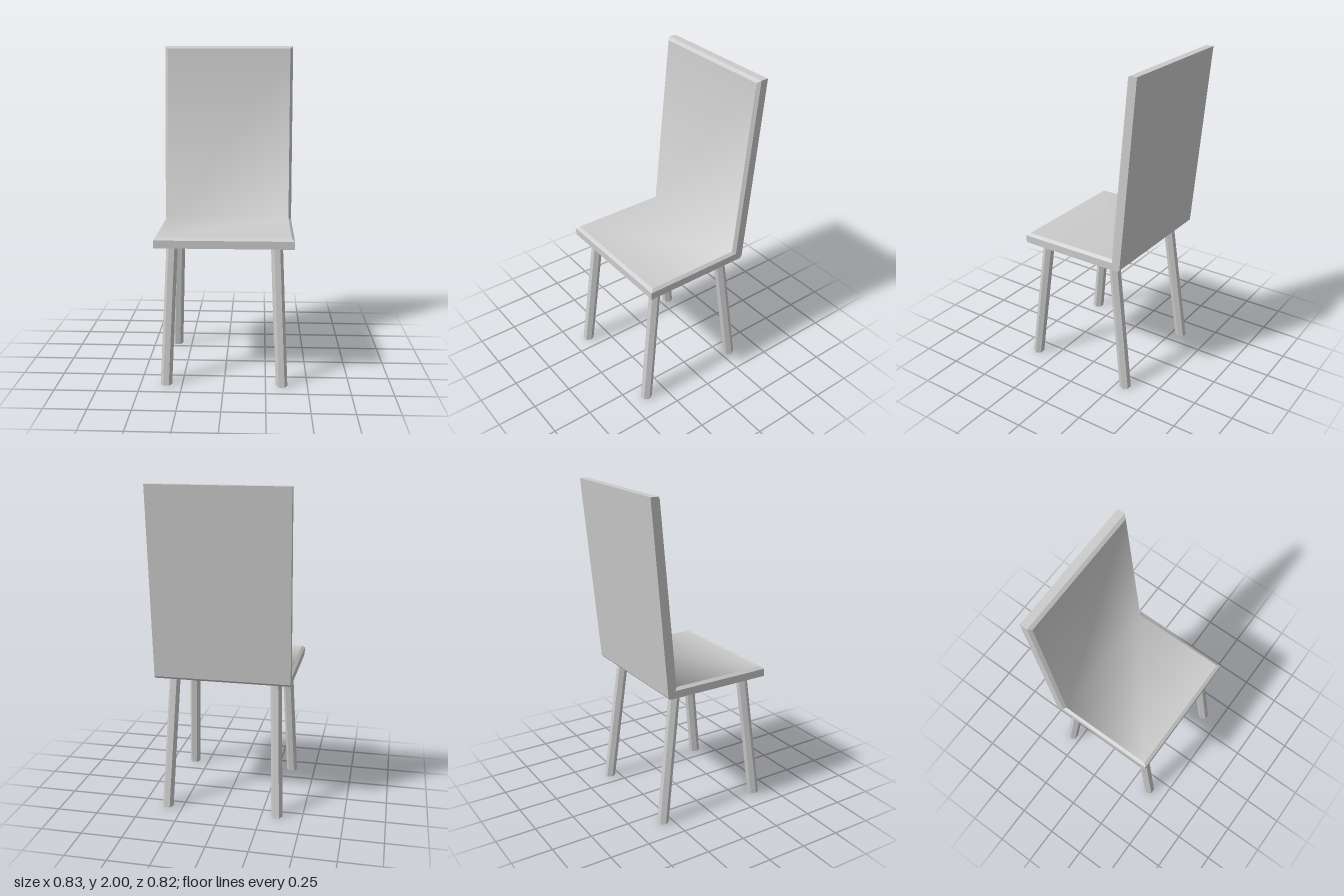
import * as THREE from 'three';

const material = new THREE.MeshStandardMaterial({ color: 0xcccccc, side: THREE.DoubleSide });
const flatMaterial = new THREE.MeshStandardMaterial({ color: 0xcccccc, side: THREE.DoubleSide, flatShading: true });

// Side profiles as [z, y], running from the seat front to the top of the back
const inner = [[0.36, 0.90], [-0.243, 0.90], [-0.243, 0.90], [-0.347, 1.985]];
const rim = [[0.38, 0.885], [-0.26, 0.885], [-0.26, 0.885], [-0.366, 2]];
const outer = [[0.38, 0.838], [-0.295, 0.838], [-0.308, 0.852], [-0.413, 2]];
const HALF = 0.413, HALF_INNER = 0.395;

// Counter-clockwise loop of points: left half of the profile out, right half back
function profileLoop(profile, half) {
  const side = (x) => profile.map(([z, y]) => new THREE.Vector3(x, y, z));
  return [...side(half), ...side(-half).reverse()];
}

function flatGeometry(quads) {
  const points = [];
  const tri = (a, b, c) => {
    if (!a.equals(b) && !b.equals(c) && !c.equals(a)) points.push(a, b, c);
  };
  for (const [a, b, c, d] of quads) {
    tri(a, b, c);
    tri(a, c, d);
  }
  const geometry = new THREE.BufferGeometry().setFromPoints(points);
  geometry.computeVertexNormals();
  return geometry;
}

// Quads between two matching loops
function band(low, high) {
  return low.map((p, j) => {
    const k = (j + 1) % low.length;
    return [p, low[k], high[k], high[j]];
  });
}

// One smooth surface sweeping from the seat up the back
function sittingSurface() {
  const points = [inner[0], inner[1], inner[3]].flatMap(([z, y]) => [
    new THREE.Vector3(-HALF_INNER, y, z), new THREE.Vector3(HALF_INNER, y, z)]);
  const geometry = new THREE.BufferGeometry().setFromPoints(points);
  geometry.setIndex([0, 1, 3, 0, 3, 2, 2, 3, 5, 2, 5, 4]);
  geometry.computeVertexNormals();
  return geometry;
}

// Hexagonal leg, sheared so that both ends stay level
function legGeometry(sx, foot, top) {
  const height = 0.84;
  const geometry = new THREE.CylinderGeometry(0.034, 0.035, height, 6, 1, true);
  geometry.rotateY(Math.PI / 6).translate(0, height / 2, 0);
  const pos = geometry.attributes.position;
  for (let i = 0; i < pos.count; i++) {
    const t = pos.getY(i) / height;
    pos.setX(i, pos.getX(i) + sx * THREE.MathUtils.lerp(0.346, 0.312, t));
    pos.setZ(i, pos.getZ(i) + THREE.MathUtils.lerp(foot, top, t));
  }
  geometry.computeVertexNormals();
  return geometry;
}

export function createModel() {
  const model = new THREE.Group();
  model.name = 'chair';
  const add = (name, geometry, mat) => {
    const mesh = new THREE.Mesh(geometry, mat);
    mesh.name = name;
    model.add(mesh);
  };

  // Seat and back in one piece
  const innerLoop = profileLoop(inner, HALF_INNER);
  const rimLoop = profileLoop(rim, HALF);
  const outerLoop = profileLoop(outer, HALF);
  add('seatAndBackSurface', sittingSurface(), material);
  add('bevelledRim', flatGeometry(band(rimLoop, innerLoop)), flatMaterial);

  // Edges, underside and rear face
  const n = outer.length, last = 2 * n - 1;
  const rear = [];
  for (let i = 0; i < n - 1; i++) {
    rear.push([outerLoop[last - i], outerLoop[last - i - 1], outerLoop[i + 1], outerLoop[i]]);
  }
  add('seatAndBackShell', flatGeometry([...band(outerLoop, rimLoop), ...rear]), flatMaterial);

  // Splayed legs
  for (const [side, sx] of [['Left', 1], ['Right', -1]]) {
    add('front' + side + 'Leg', legGeometry(sx, 0.381, 0.28), flatMaterial);
    add('back' + side + 'Leg', legGeometry(sx, -0.31, -0.205), flatMaterial);
  }
  return model;
}
